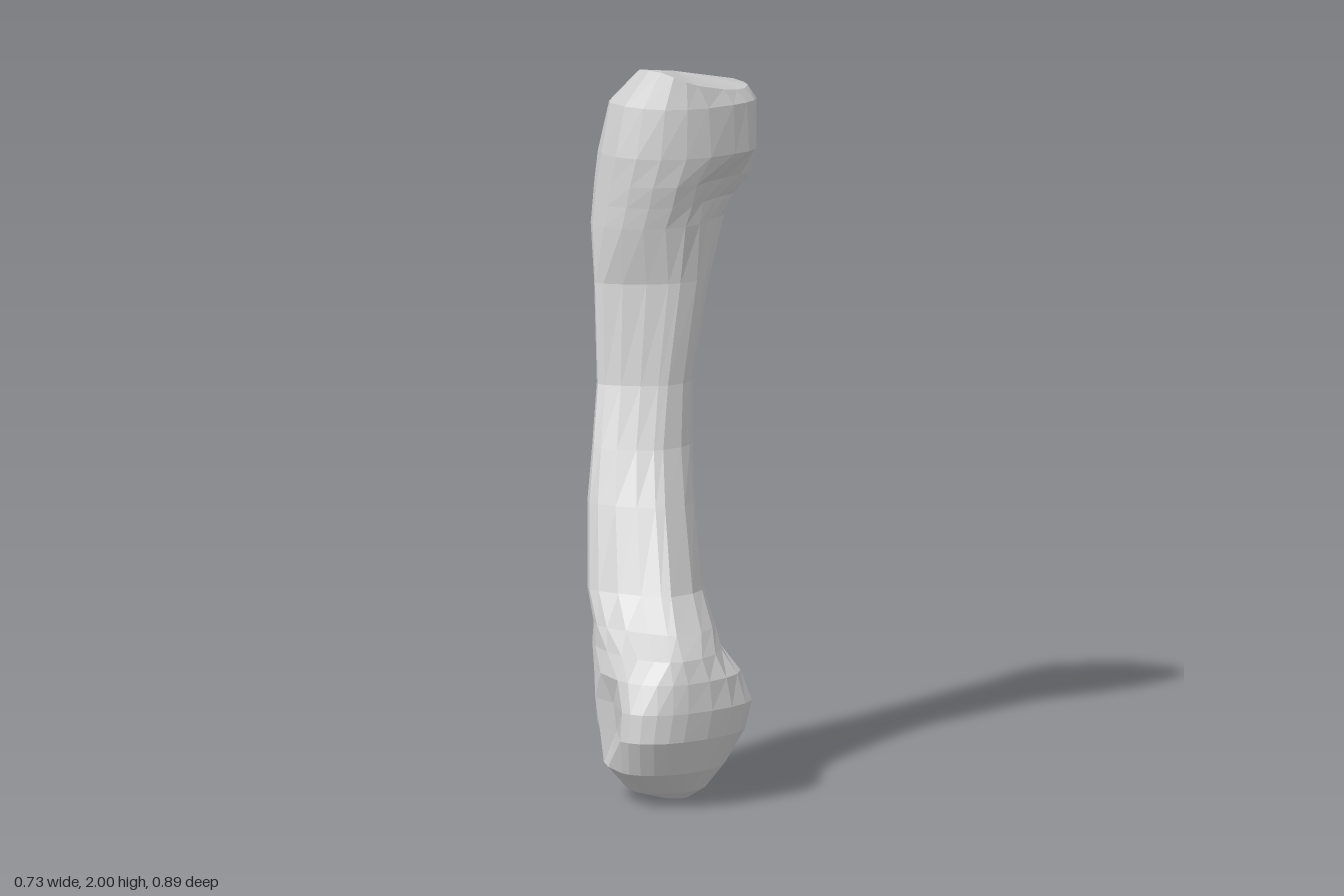
import * as THREE from 'three';

// Each ring: height, then the right, front, left and back extreme points as
// y, xMin,zAtMin, xAtFront,zFront, xMax,zAtMax, xAtBack,zBack
// Roundness per quarter (1 = chamfer, 2 = ellipse, more = boxy):
// frontLeft, frontRight, backRight, backLeft
const roundedHead = {
  roundness: [2, 2, 2.3, 3.2],
  rings: [
    [0.00, -0.18, 0.24, -0.13, 0.29, -0.09, 0.23, -0.13, 0.19],
    [0.03, -0.275, 0.27, -0.16, 0.345, -0.05, 0.26, -0.14, 0.11],
    [0.10, -0.345, 0.31, -0.20, 0.41, -0.005, 0.29, -0.15, 0.06],
    [0.20, -0.367, 0.34, -0.22, 0.445, 0.04, 0.33, -0.14, 0.01],
    [0.28, -0.355, 0.33, -0.20, 0.44, 0.062, 0.335, -0.13, -0.015],
    [0.36, -0.335, 0.27, -0.19, 0.42, 0.05, 0.28, -0.12, -0.04],
    [0.42, -0.305, 0.16, -0.19, 0.39, 0.035, 0.16, -0.11, -0.065],
  ],
};
const shaft = {
  roundness: [2.6, 1.3, 1.6, 2],
  rings: [
    [0.48, -0.292, 0.08, -0.17, 0.32, 0.045, 0.03, -0.10, -0.09],
    [0.57, -0.277, 0.01, -0.13, 0.22, 0.06, -0.07, -0.08, -0.125],
    [0.80, -0.23, -0.07, -0.08, 0.10, 0.09, -0.135, -0.04, -0.21],
    [0.95, -0.193, -0.11, -0.04, 0.02, 0.115, -0.16, 0.00, -0.235],
    [1.12, -0.15, -0.16, 0.01, -0.04, 0.14, -0.185, 0.02, -0.265],
    [1.40, -0.125, -0.22, 0.08, -0.09, 0.22, -0.21, 0.05, -0.32],
  ],
};
const neck = {
  roundness: [2, 1.9, 2, 1.9],
  rings: [
    [1.56, -0.11, -0.26, 0.10, -0.095, 0.29, -0.22, 0.10, -0.35],
    [1.62, -0.10, -0.265, 0.12, -0.085, 0.325, -0.21, 0.13, -0.365],
    [1.68, -0.09, -0.27, 0.13, -0.075, 0.36, -0.20, 0.17, -0.385],
  ],
};
const flaredBase = {
  roundness: [2.8, 2, 1.8, 1.9],
  rings: [
    [1.76, -0.075, -0.27, 0.17, -0.07, 0.365, -0.19, 0.22, -0.445],
    [1.90, -0.035, -0.29, 0.17, -0.085, 0.365, -0.18, 0.20, -0.39],
    [2.00, 0.04, -0.25, 0.15, -0.11, 0.345, -0.19, 0.18, -0.35],
  ],
};

const SIDES = 20;

// Hollows: centre, radius and push direction
const hollows = [
  { at: new THREE.Vector3(-0.35, 0.22, 0.22), radius: 0.11, push: new THREE.Vector3(0.05, 0, 0) },
  { at: new THREE.Vector3(0.04, 0.22, 0.21), radius: 0.13, push: new THREE.Vector3(-0.06, 0, 0) },
  { at: new THREE.Vector3(0.24, 1.64, -0.1), radius: 0.13, push: new THREE.Vector3(-0.01, 0, -0.045) },
];

// One point on a ring made of four quarter curves
function ringPoint([y, xMin, zRight, xFront, zFront, xMax, zLeft, xBack, zBack], roundness, i) {
  const a = (i / SIDES) * Math.PI * 2;
  const quarter = Math.floor((i * 4) / SIDES);
  const power = 2 / roundness[quarter];
  const c = Math.pow(Math.abs(Math.cos(a)), power);
  const s = Math.pow(Math.abs(Math.sin(a)), power);
  const front = quarter < 2, left = quarter === 0 || quarter === 3;
  const midX = front ? xFront : xBack;
  const midZ = left ? zLeft : zRight;
  const p = new THREE.Vector3(
    midX + ((left ? xMax : xMin) - midX) * c,
    y,
    midZ + ((front ? zFront : zBack) - midZ) * s
  );
  // The top face slopes down to the side, the back and the front rim
  if (y === 2) {
    p.y -= 0.25 * Math.max(0, p.x - 0.1) + 0.4 * Math.max(0, -0.24 - p.z) + 0.5 * Math.max(0, p.z + 0.16);
  }
  for (const h of hollows) {
    const d = p.distanceTo(h.at) / h.radius;
    if (d < 1) p.addScaledVector(h.push, 1 - d * d);
  }
  return p;
}

// Skin the rings of all sections and close both ends
function loft(sections) {
  const positions = [], index = [];
  for (const { rings, roundness } of sections) {
    for (const ring of rings) {
      for (let i = 0; i < SIDES; i++) positions.push(...ringPoint(ring, roundness, i).toArray());
    }
  }
  const bottom = positions.length / 3, top = bottom + 1, last = bottom - SIDES;
  positions.push(-0.13, 0, 0.24, 0.14, 1.985, -0.23);
  for (let i = 0; i < SIDES; i++) {
    const n = (i + 1) % SIDES;
    for (let row = 0; row < last; row += SIDES) {
      const a = row + i, b = row + n;
      index.push(a, a + SIDES, b, b, a + SIDES, b + SIDES);
    }
    index.push(bottom, i, n, top, last + n, last + i);
  }
  const geometry = new THREE.BufferGeometry();
  geometry.setAttribute('position', new THREE.Float32BufferAttribute(positions, 3));
  geometry.setIndex(index);
  const faceted = geometry.toNonIndexed();
  faceted.computeVertexNormals();
  return faceted;
}

export function createModel() {
  const group = new THREE.Group();
  group.name = 'longBone';
  const boneGrey = new THREE.MeshStandardMaterial({ color: 0xcccccc });
  boneGrey.name = 'bone grey';
  const bone = new THREE.Mesh(loft([roundedHead, shaft, neck, flaredBase]), boneGrey);
  bone.name = 'bone';
  group.add(bone);
  return group;
}
